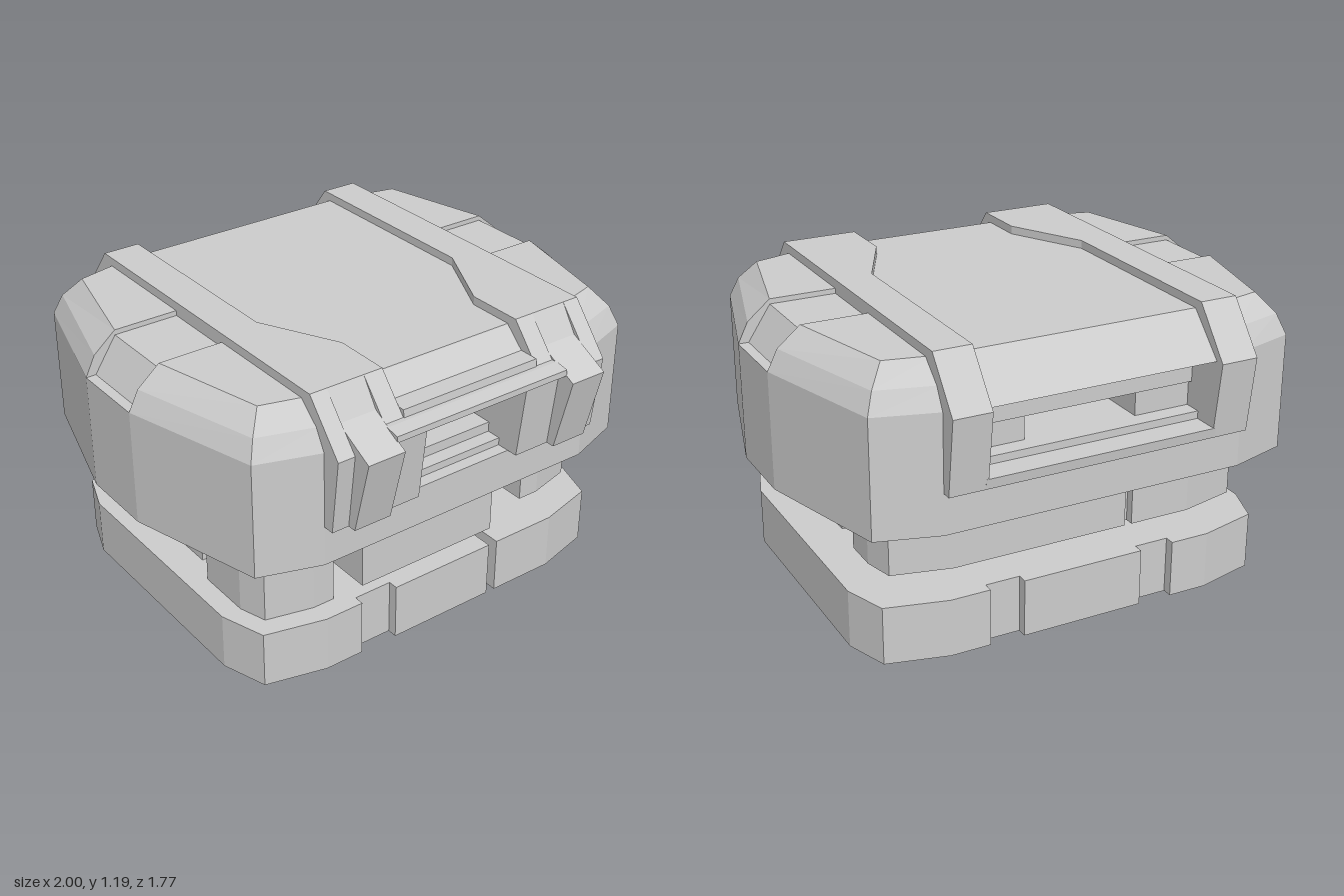
import * as THREE from 'three';

const material = new THREE.MeshStandardMaterial({ color: 0xcccccc, flatShading: true });

const mesh = (name, geometry) => {
  const m = new THREE.Mesh(geometry, material);
  m.name = name;
  return m;
};

// Plan outline [x, z] raised from y0 to y1
function slab(name, pts, y0, y1, holes = []) {
  const flat = (p) => p.map(([x, z]) => new THREE.Vector2(x, -z));
  const shape = new THREE.Shape(flat(pts));
  holes.forEach((h) => shape.holes.push(new THREE.Path(flat(h))));
  const g = new THREE.ExtrudeGeometry(shape, { depth: y1 - y0, bevelEnabled: false });
  g.rotateX(-Math.PI / 2).translate(0, y0, 0);
  return mesh(name, g);
}

// Side profile [z, y] swept from x0 to x1
function sweep(name, pts, x0, x1) {
  const shape = new THREE.Shape(pts.map(([z, y]) => new THREE.Vector2(z, y)));
  const g = new THREE.ExtrudeGeometry(shape, { depth: x1 - x0, bevelEnabled: false });
  g.rotateY(-Math.PI / 2).translate(x1, 0, 0);
  return mesh(name, g);
}

const rect = (x0, x1, z0, z1) => [[x0, z0], [x1, z0], [x1, z1], [x0, z1]];
const mirrored = (pts, s) => pts.map(([x, z]) => [s * x, z]);

// Bevelled end of the shell top, lofted through rings [y, half outline]
function cap(name, levels, isFront) {
  const pos = [], idx = [];
  const n = levels[0][1].length * 2;
  levels.forEach(([y, half]) => {
    let ring = [...half, ...mirrored(half, -1).reverse()];
    if (isFront) ring = ring.reverse();
    ring.forEach(([x, z]) => pos.push(x, y, z));
  });
  for (let l = 0; l < levels.length - 1; l++) {
    for (let i = 0; i < n; i++) {
      const a = l * n + i, b = l * n + (i + 1) % n;
      idx.push(a, b, b + n, a, b + n, a + n);
    }
  }
  const top = (levels.length - 1) * n;
  for (let i = 1; i < n - 1; i++) idx.push(top, top + i, top + i + 1);
  const g = new THREE.BufferGeometry();
  g.setAttribute('position', new THREE.Float32BufferAttribute(pos, 3));
  g.setIndex(idx);
  const out = g.toNonIndexed();
  out.computeVertexNormals();
  return mesh(name, out);
}

// Half of a shell layer: inner edge t, front notch to zf, back notch to zb
function halfLayer(t, zf, zb) {
  const p = [[t, zb], [0.46, zb], [0.46, -0.81], [0.61, -0.81], [0.85, -0.74], [1, -0.2], [1, 0.11],
    [0.85, 0.65], [0.61, 0.73], [0.23, 0.73], [0.23, zf], [t, zf]];
  return p.filter((q, i) => i === 0 || q[0] !== p[i - 1][0] || q[1] !== p[i - 1][1]);
}

function buildBase() {
  const g = new THREE.Group();
  g.name = 'base';
  const outline = [
    [-0.85, 0.42], [-0.79, 0.6], [-0.55, 0.66], [-0.39, 0.66], [-0.39, 0.62], [-0.23, 0.62], [-0.23, 0.66],
    [0.23, 0.66], [0.23, 0.33], [0.41, 0.33], [0.41, 0.37], [0.27, 0.37], [0.27, 0.66], [0.55, 0.66],
    [0.79, 0.6], [0.85, 0.42], [0.85, -0.5], [0.79, -0.67], [0.55, -0.73],
    [0.39, -0.73], [0.39, -0.69], [0.25, -0.69], [0.25, -0.73],
    [-0.25, -0.73], [-0.25, -0.69], [-0.39, -0.69], [-0.39, -0.73], [-0.55, -0.73], [-0.79, -0.67], [-0.85, -0.5],
  ];
  const holes = [
    rect(-0.42, -0.26, -0.25, 0.11), rect(0.28, 0.43, -0.47, -0.42),
    rect(-0.4, -0.25, -0.46, -0.41), rect(-0.4, -0.25, 0.32, 0.37),
    [[0.25, 0.15], [0.41, 0.15], [0.41, 0.11], [0.29, 0.11], [0.29, -0.18], [0.25, -0.18]],
  ];
  g.add(slab('basePlate', outline, 0, 0.23, holes));
  return g;
}

function buildMiddle() {
  const g = new THREE.Group();
  g.name = 'middle';
  g.add(slab('core', rect(-0.56, 0.56, -0.5, 0.42), 0.31, 0.54));
  g.add(slab('backBlock', [[-0.76, -0.345], [-0.76, -0.48], [-0.73, -0.6], [-0.5, -0.655], [-0.25, -0.655], [-0.25, -0.62],
    [-0.22, -0.62], [-0.22, -0.655], [0.5, -0.655], [0.73, -0.6], [0.76, -0.48], [0.76, -0.345]], 0.31, 0.54));
  g.add(slab('frontBlock', [[-0.39, 0.3], [0.23, 0.3], [0.23, 0.66], [-0.39, 0.66]], 0.31, 0.54));
  g.add(slab('frontCorner', [[0.46, 0.31], [0.76, 0.31], [0.76, 0.42], [0.73, 0.53], [0.55, 0.575], [0.46, 0.575]], 0.31, 0.54));
  // Standing pillar and post carry the block on one side
  g.add(slab('pillar', [[-0.43, 0.195], [-0.77, 0.195], [-0.77, 0.42], [-0.735, 0.53], [-0.55, 0.575], [-0.46, 0.575], [-0.43, 0.5]], 0.23, 0.54));
  g.add(slab('post', rect(-0.72, -0.48, -0.155, 0.08), 0.23, 0.4));
  for (const s of [1, -1]) {
    g.add(slab('sidePad', mirrored(rect(0.5, 0.74, -0.19, 0.155), s), 0.31, 0.54));
    g.add(slab('sideLintel', mirrored(rect(0.5, 0.73, -0.4, 0.35), s), 0.5, 0.54));
  }
  return g;
}

function buildShell() {
  const g = new THREE.Group();
  g.name = 'shell';
  // Body layers [y0, y1, inner edge, front notch, back notch], with a tunnel through the middle
  const layers = [
    [0.54, 0.7, 0, 0.73, -0.81], [0.7, 0.73, 0, 0.68, -0.81], [0.73, 0.77, 0, 0.62, -0.75],
    [0.77, 0.87, 0.23, 0.73, -0.68], [0.87, 1.0, 0, 0.6, -0.7],
  ];
  for (const [y0, y1, t, zf, zb] of layers) {
    for (const s of [1, -1]) g.add(slab('shellLayer', mirrored(halfLayer(t, zf, zb), s), y0, y1));
  }
  g.add(cap('frontCap', [
    [1.0, [[1, 0.11], [0.85, 0.65], [0.61, 0.73]]],
    [1.08, [[0.96, 0.11], [0.82, 0.62], [0.6, 0.69]]],
    [1.155, [[0.87, 0.11], [0.76, 0.56], [0.58, 0.61]]],
  ], true));
  g.add(cap('backCap', [
    [1.0, [[1, -0.2], [0.85, -0.74], [0.61, -0.81]]],
    [1.08, [[0.96, -0.2], [0.82, -0.71], [0.6, -0.77]]],
    [1.155, [[0.87, -0.2], [0.76, -0.65], [0.58, -0.69]]],
  ], false));
  // Sunken strip between the two caps
  const strip = new THREE.Shape([[-0.96, 1], [0.96, 1], [0.87, 1.135], [-0.87, 1.135]].map((p) => new THREE.Vector2(...p)));
  const sg = new THREE.ExtrudeGeometry(strip, { depth: 0.31, bevelEnabled: false });
  g.add(mesh('sideStrip', sg.translate(0, 0, -0.2)));
  return g;
}

function buildBand() {
  const g = new THREE.Group();
  g.name = 'band';
  // Lower centre panel, its back slope, and the front slope ending in a bar
  g.add(sweep('centrePanel', [[0.42, 1.157], [-0.7, 1.157], [-0.85, 1.0], [-0.75, 1.0], [-0.65, 1.1], [0.42, 1.1]], -0.46, 0.46));
  g.add(sweep('frontSlope', [[0.4, 1.157], [0.61, 1.157], [0.65, 1.08], [0.77, 1.08], [0.78, 1.0], [0.4, 1.0]], -0.305, 0.305));
  g.add(sweep('frontBar', [[0.7, 1.05], [0.79, 1.05], [0.845, 1.04], [0.845, 1.015], [0.8, 1.0], [0.7, 1.0]], -0.39, 0.39));
  g.add(sweep('backSill', [[-0.848, 0.7], [-0.854, 0.74], [-0.75, 0.74], [-0.75, 0.7]], -0.47, 0.47));
  // Mirrored parts: [name, profile, x0, x1]
  const parts = [
    ['backRail', [[-0.735, 1.19], [-0.886, 1.0], [-0.848, 0.7], [-0.78, 0.7], [-0.78, 1.0], [-0.7, 1.1]], 0.46, 0.61],
    ['frontRail', [[0.65, 1.19], [0.81, 1.0], [0.775, 0.7], [0.7, 0.7], [0.6, 1.1]], 0.54, 0.61],
    ['frontClip', [[0.65, 1.19], [0.72, 1.085], [0.885, 1.0], [0.81, 0.7], [0.7, 0.7], [0.6, 1.1]], 0.385, 0.54],
    ['innerRail', [[0.65, 1.19], [0.77, 1.05], [0.77, 1.0], [0.6, 1.0]], 0.305, 0.385],
    ['innerClip', [[0.6, 1.0], [0.81, 1.0], [0.775, 0.7], [0.6, 0.7]], 0.23, 0.385],
  ];
  const railPlan = [[0.61, -0.735], [0.61, 0.65], [0.305, 0.65], [0.305, 0.42], [0.46, 0.11], [0.46, -0.735]];
  for (const s of [1, -1]) {
    g.add(slab('topRail', mirrored(railPlan, s), 1.1, 1.19));
    for (const [name, pts, x0, x1] of parts) {
      g.add(s > 0 ? sweep(name, pts, x0, x1) : sweep(name, pts, -x1, -x0));
    }
  }
  return g;
}

export function createModel() {
  const model = new THREE.Group();
  model.name = 'model';
  model.add(buildBase(), buildMiddle(), buildShell(), buildBand());
  return model;
}
